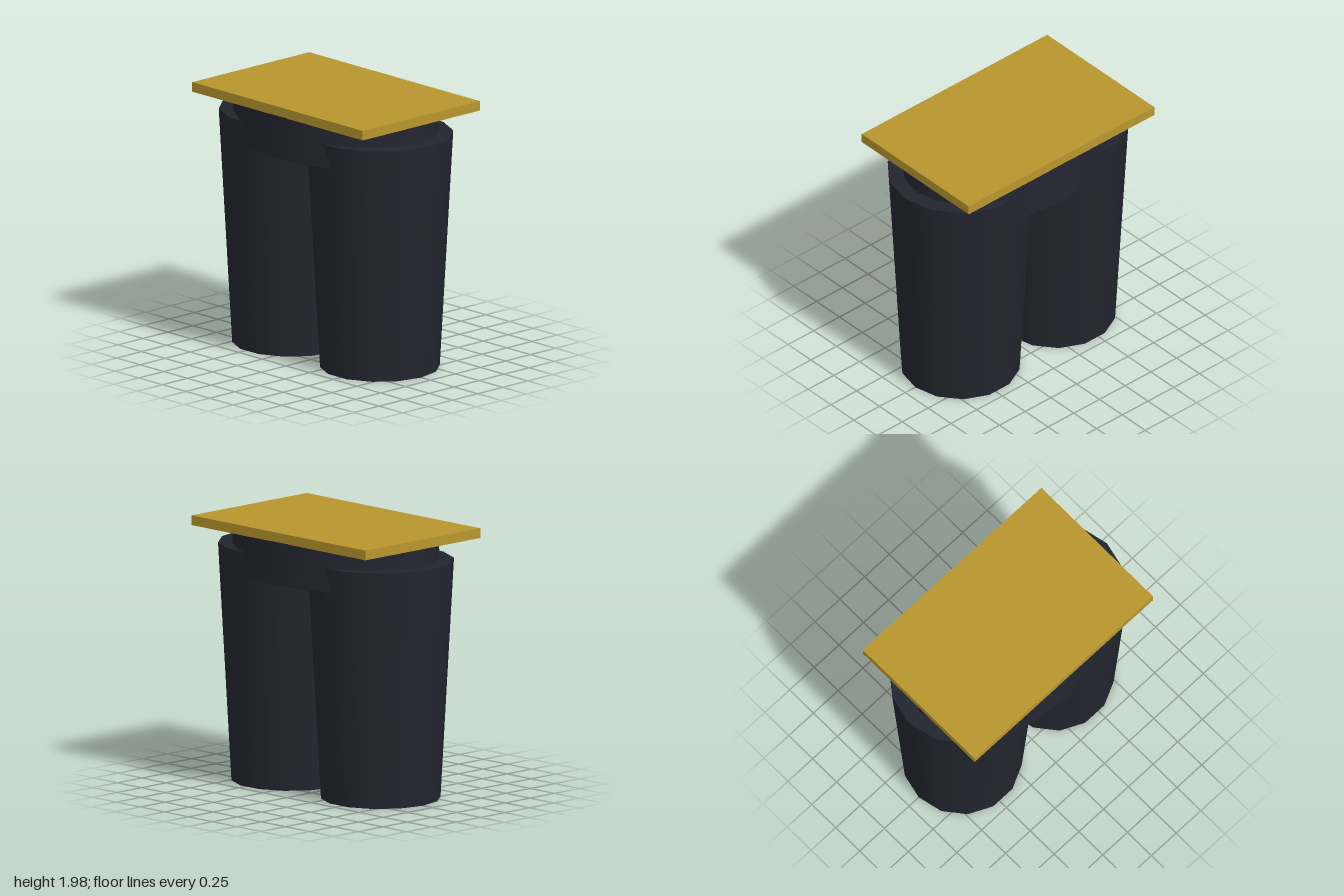
import * as THREE from 'three';

export function createModel() {
  const model = new THREE.Group();
  const cloth = new THREE.MeshStandardMaterial({ color: 0x23252f });
  const gold = new THREE.MeshStandardMaterial({ color: 0xb8962e });

  function addPart(name, geometry, material, x, y) {
    const mesh = new THREE.Mesh(geometry, material);
    mesh.name = name;
    mesh.position.set(x, y, 0);
    model.add(mesh);
    return mesh;
  }

  // Two tapered legs, wider at the top, with a corner pointing straight outwards
  const legHeight = 1.765;
  for (const side of [-1, 1]) {
    const leg = new THREE.CylinderGeometry(0.535, 0.437, legHeight, 14, 1, false, side * Math.PI / 2);
    addPart(side > 0 ? 'leftLeg' : 'rightLeg', leg, cloth, side * 0.465, legHeight / 2);
  }

  // Oval hip section that joins the legs
  const hipBottom = 1.59, hipTop = 1.905;
  const hips = new THREE.CylinderGeometry(0.875, 0.9, hipTop - hipBottom, 20);
  hips.scale(1, 1, 0.68);
  addPart('hips', hips, cloth, 0, (hipBottom + hipTop) / 2);

  // Flat belt slab on top
  addPart('belt', new THREE.BoxGeometry(1.805, 0.072, 1.17), gold, 0, 1.939);

  return model;
}
